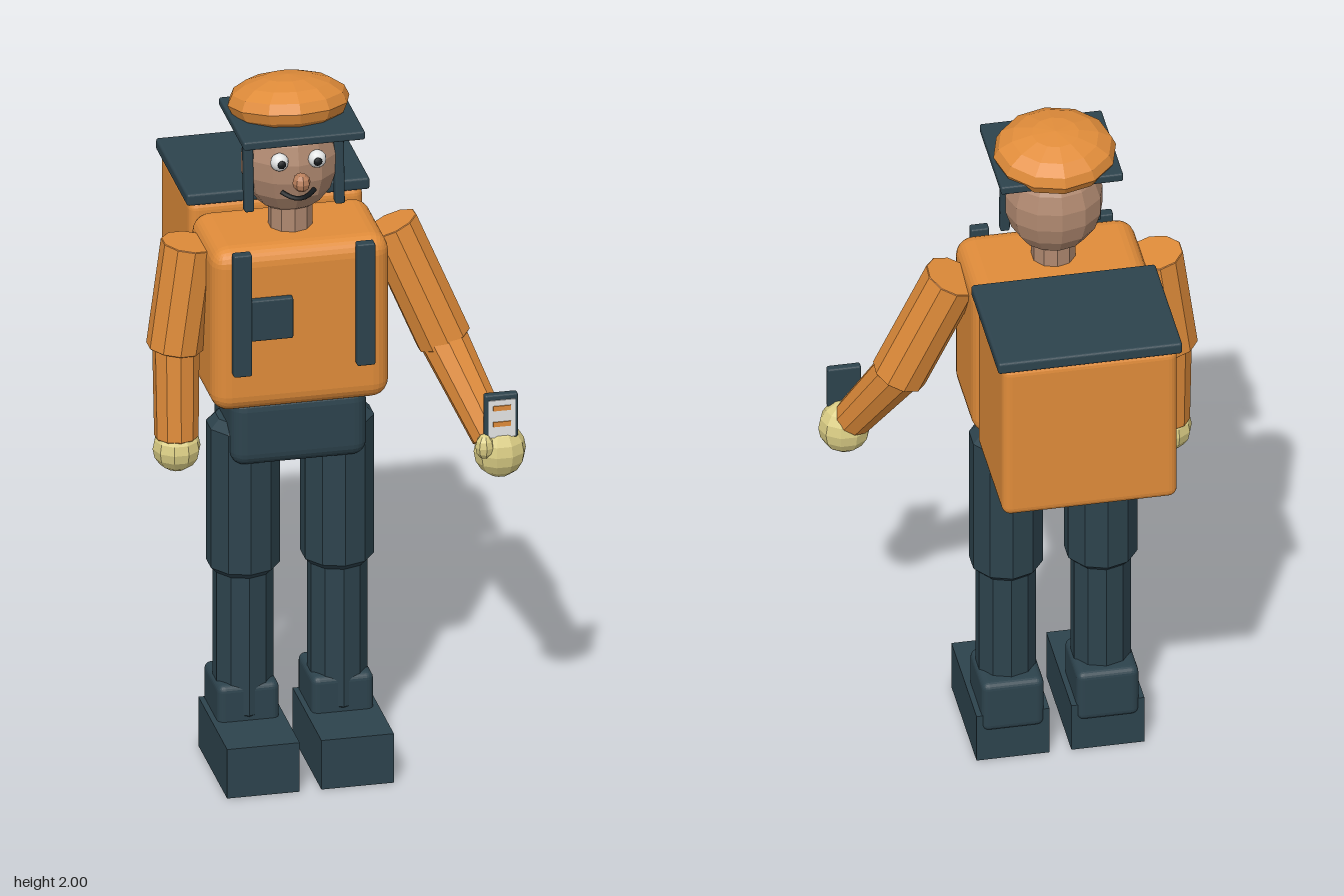
import * as THREE from 'three';
import { RoundedBoxGeometry } from 'three/addons/geometries/RoundedBoxGeometry.js';

const mat = (name, color, flatShading = false) => {
  const m = new THREE.MeshStandardMaterial({ color, flatShading });
  m.name = name;
  return m;
};

export function createModel() {
  const orange = mat('orange', 0xe08c3a, true);
  const dark = mat('darkSlate', 0x2d434d, true);
  const skin = mat('skin', 0xb08970, true);
  const noseTone = mat('noseSkin', 0xb97f5c, true);
  const glove = mat('gloveYellow', 0xdccf86, true);
  const white = mat('white', 0xe6e8e8);
  const black = mat('black', 0x14181b);

  const model = new THREE.Group();
  model.name = 'courier';
  const CX = -0.105; // body centre line

  const add = (name, geometry, material, x = 0, y = 0, z = 0, parent = model) => {
    const mesh = new THREE.Mesh(geometry, material);
    mesh.name = name;
    mesh.position.set(x, y, z);
    parent.add(mesh);
    return mesh;
  };
  // Box given by its extents; a radius rounds its edges
  const box = (name, material, x0, x1, y0, y1, z0, z1, radius = 0) => {
    const size = [x1 - x0, y1 - y0, z1 - z0];
    const geometry = radius
      ? new RoundedBoxGeometry(...size, 3, radius)
      : new THREE.BoxGeometry(...size);
    return add(name, geometry, material, (x0 + x1) / 2, (y0 + y1) / 2, (z0 + z1) / 2);
  };
  const ball = (name, material, x, y, z, rx, ry, rz, w = 10, h = 8) => {
    const mesh = add(name, new THREE.SphereGeometry(1, w, h), material, x, y, z);
    mesh.scale.set(rx, ry, rz);
    return mesh;
  };
  // Faceted limb between two points, with a bevel at each end
  const limb = (name, material, from, to, r0, r1, bevel = 0.01) => {
    const a = new THREE.Vector3(...from), b = new THREE.Vector3(...to);
    const length = a.distanceTo(b);
    const profile = [[0, 0], [r0 - bevel, 0], [r0, bevel], [r1, length - bevel], [r1 - bevel, length], [0, length]];
    const geometry = new THREE.LatheGeometry(profile.map(p => new THREE.Vector2(...p)), 10);
    const mesh = add(name, geometry, material, ...from);
    mesh.quaternion.setFromUnitVectors(new THREE.Vector3(0, 1, 0), b.sub(a).normalize());
    return mesh;
  };

  // Torso and hips
  box('torso', orange, -0.35, 0.14, 1.09, 1.57, -0.02, 0.285, 0.05);
  box('hips', dark, -0.29, 0.085, 0.91, 1.115, -0.01, 0.25, 0.04);

  // Chest straps and badge
  box('rightStrap', dark, -0.30, -0.25, 1.21, 1.57, 0.28, 0.31, 0.005);
  box('leftStrap', dark, 0.04, 0.09, 1.21, 1.57, 0.28, 0.31, 0.005);
  box('chestBadge', dark, -0.255, -0.135, 1.31, 1.43, 0.28, 0.305, 0.005);

  // Delivery box with lid
  box('backpackBox', orange, -0.345, 0.135, 1.095, 1.58, -0.39, -0.03, 0.025);
  box('backpackLid', dark, -0.355, 0.15, 1.575, 1.61, -0.40, -0.02, 0.008);

  // Legs and shoes
  for (const [side, x] of [['right', -0.235], ['left', 0.025]]) {
    limb(side + 'Thigh', dark, [x, 0.56, 0.13], [x, 1.02, 0.13], 0.1, 0.1, 0.025);
    limb(side + 'Shin', dark, [x, 0.15, 0.13], [x, 0.6, 0.13], 0.082, 0.082);
    box(side + 'BootCuff', dark, x - 0.085, x + 0.085, 0.095, 0.25, 0.02, 0.207, 0.02);
    box(side + 'Shoe', dark, x - 0.1, x + 0.1, 0, 0.145, 0.03, 0.378);
  }

  // Right arm hanging down
  limb('rightUpperArm', orange, [-0.424, 1.235, 0.13], [-0.382, 1.54, 0.125], 0.077, 0.077, 0.002);
  limb('rightForearm', orange, [-0.422, 0.97, 0.145], [-0.42, 1.26, 0.13], 0.06, 0.064);
  ball('rightGlove', glove, -0.422, 0.947, 0.147, 0.066, 0.066, 0.066);

  // Left arm reaching forward
  limb('leftUpperArm', orange, [0.31, 1.205, 0.172], [0.172, 1.538, 0.125], 0.077, 0.077, 0.002);
  limb('leftForearm', orange, [0.41, 0.965, 0.32], [0.295, 1.235, 0.165], 0.055, 0.068);
  ball('leftGlove', glove, 0.427, 0.937, 0.333, 0.072, 0.077, 0.065);
  ball('leftThumb', glove, 0.378, 0.965, 0.367, 0.026, 0.036, 0.026, 8, 6);

  // Phone with a striped screen
  box('phone', dark, 0.378, 0.47, 0.985, 1.115, 0.346, 0.37, 0.006);
  box('phoneScreen', white, 0.387, 0.461, 0.99, 1.1, 0.368, 0.373);
  for (const y of [1.03, 1.077]) box('screenStripe', orange, 0.4, 0.449, y - 0.007, y + 0.007, 0.372, 0.376);

  // Neck and head
  limb('neck', skin, [CX, 1.54, 0.13], [CX, 1.68, 0.13], 0.06, 0.06, 0.002);
  ball('head', skin, CX, 1.76, 0.12, 0.135, 0.152, 0.122, 12, 9);
  ball('nose', noseTone, CX, 1.752, 0.268, 0.025, 0.026, 0.028, 8, 6);
  for (const s of [-1, 1]) {
    ball('eye', white, CX + s * 0.052, 1.8, 0.23, 0.025, 0.025, 0.023, 12, 8);
    ball('pupil', black, CX + s * 0.05, 1.8, 0.25, 0.012, 0.012, 0.007, 8, 6);
    const strap = box('chinStrap', dark, CX + s * 0.125 - 0.013, CX + s * 0.125 + 0.013, 1.64, 1.885, 0.154, 0.184, 0.005);
    strap.rotation.x = -0.07;
  }
  const smile = new THREE.QuadraticBezierCurve3(
    new THREE.Vector3(-0.045, 0.01, -0.01), new THREE.Vector3(0, -0.016, 0.035), new THREE.Vector3(0.045, 0.01, -0.01));
  add('mouth', new THREE.TubeGeometry(smile, 8, 0.007, 6), black, CX, 1.7, 0.238);

  // Cap dome tipped back over a flat square brim
  box('capBrim', dark, -0.272, 0.063, 1.877, 1.902, 0, 0.305, 0.006);
  const dome = ball('capDome', orange, CX, 1.925, 0.11, 0.168, 0.074, 0.152, 12, 8);
  dome.rotation.x = -0.15;

  return model;
}
